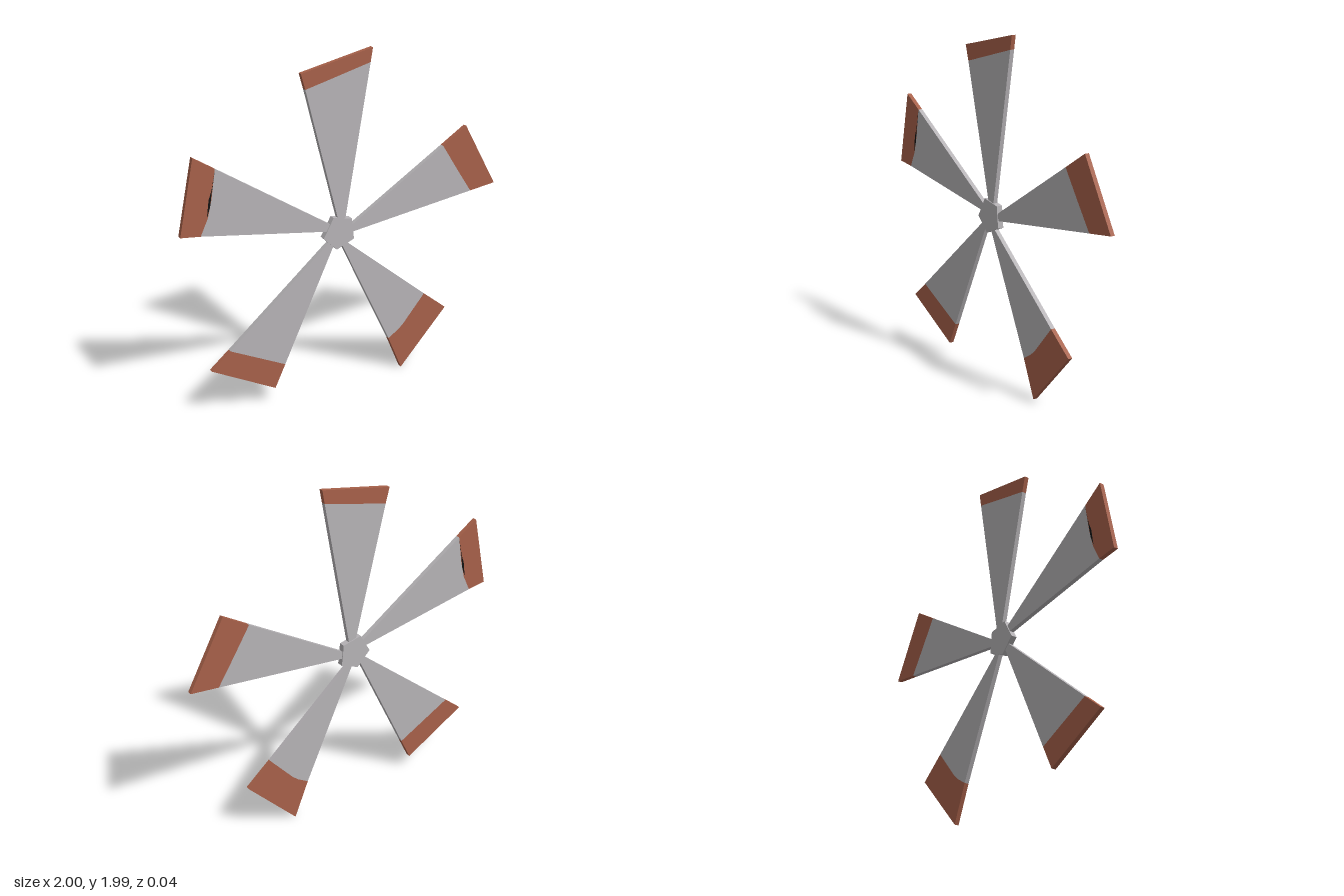
import * as THREE from 'three';

const steel = new THREE.MeshStandardMaterial({ color: 0xb5b2b5 });
steel.name = 'pale grey';
const rust = new THREE.MeshStandardMaterial({ color: 0xa66049 });
rust.name = 'rust red';
const soot = new THREE.MeshStandardMaterial({ color: 0x121212 });
soot.name = 'black';

// Flat plate from an outline, centred on z = 0
function plate(name, points, depth, material) {
  const shape = new THREE.Shape(points.map(([x, y]) => new THREE.Vector2(x, y)));
  const geometry = new THREE.ExtrudeGeometry(shape, { depth, bevelEnabled: false });
  geometry.translate(0, 0, -depth / 2);
  const mesh = new THREE.Mesh(geometry, material);
  mesh.name = name;
  return mesh;
}

// Each blade: root edge, tip edge and the paint line, listed from one side to the other
const blades = [
  { name: 'topBlade', root: [[-0.055, 1.03], [-0.015, 1.03]],
    paint: [[-0.255, 1.82], [0.144, 1.917]], tip: [[-0.28, 1.91], [0.158, 1.997]] },
  { name: 'rightBlade', root: [[0.02, 0.99], [0.02, 0.952]],
    paint: [[0.63, 1.36], [0.735, 1.195], [0.83, 1.05]], tip: [[0.785, 1.455], [0.998, 1.07]] },
  { name: 'lowerRightBlade', root: [[-0.005, 0.9], [-0.04, 0.9]],
    paint: [[0.523, 0.455], [0.38, 0.29], [0.345, 0.26], [0.28, 0.22]], tip: [[0.675, 0.33], [0.37, 0.005]] },
  { name: 'lowerLeftBlade', root: [[-0.085, 0.9], [-0.115, 0.92]],
    paint: [[-0.405, 0.23], [-0.74, 0.4]], tip: [[-0.47, 0.095], [-0.856, 0.305]] },
  { name: 'leftBlade', root: [[-0.12, 0.985], [-0.1, 1.02]],
    paint: [[-0.885, 1.115], [-0.84, 1.21], [-0.815, 1.31], [-0.79, 1.475]], tip: [[-1, 1.13], [-0.912, 1.555]] },
];

export function createModel() {
  const group = new THREE.Group();
  group.name = 'fan';

  // Five-sided hub, a little thicker than the blades
  group.add(plate('hub', [[-0.09, 1.062], [0.027, 1.037], [0.04, 0.912], [-0.07, 0.867], [-0.153, 0.95]], 0.036, steel));

  // Tapered blades with painted tips
  for (const { name, root, paint, tip } of blades) {
    const blade = new THREE.Group();
    blade.name = name;
    blade.add(plate('bladeBody', [...root, ...[...paint].reverse()], 0.026, steel));
    blade.add(plate('bladeTip', [...paint, ...[...tip].reverse()], 0.026, rust));
    group.add(blade);
  }

  // Dark scuff along the paint line of the left blade
  group.add(plate('scuff', [[-0.845, 1.215], [-0.825, 1.27], [-0.808, 1.38], [-0.792, 1.46],
    [-0.805, 1.38], [-0.832, 1.31]], 0.028, soot));
  return group;
}
